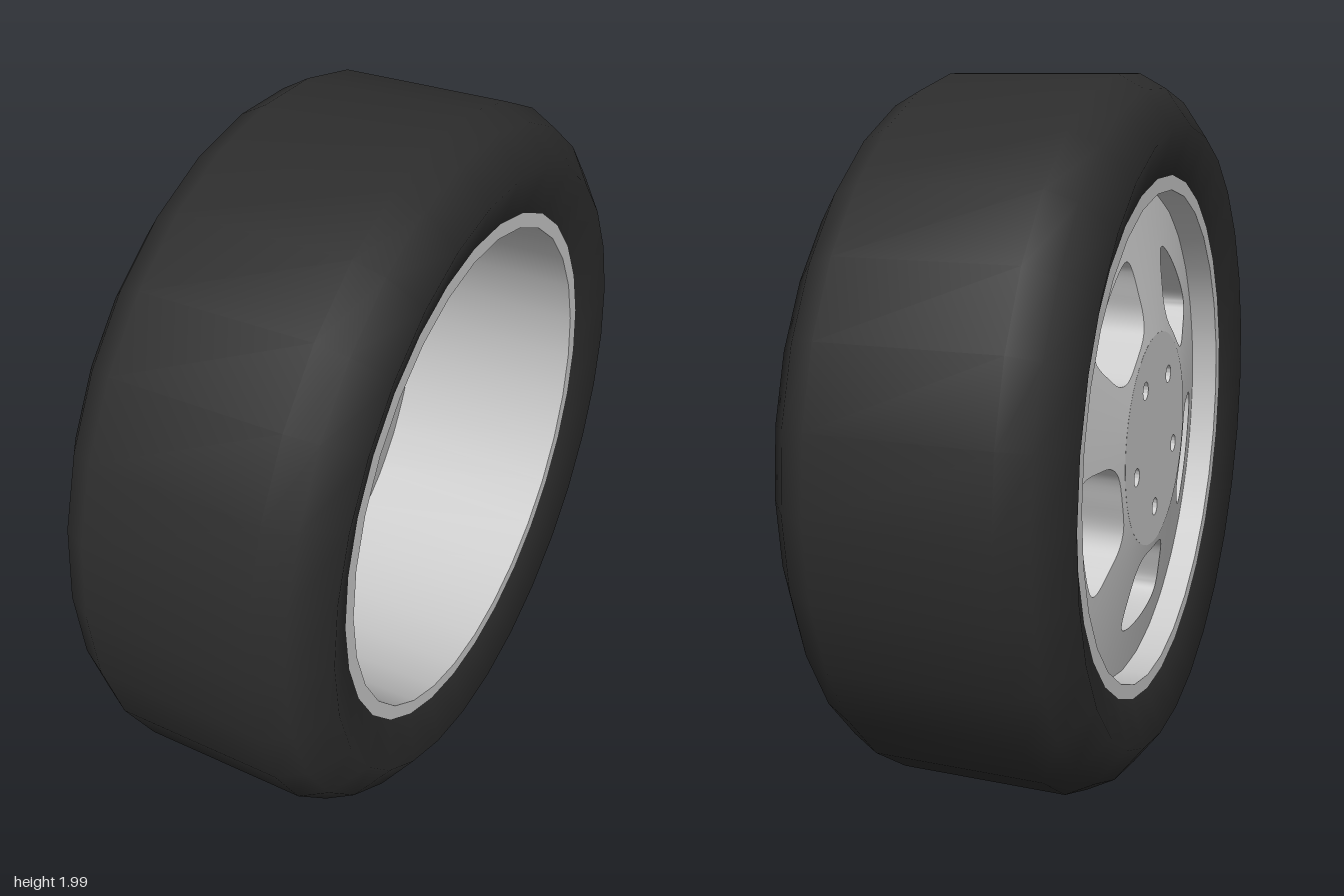
import * as THREE from 'three';
import { toCreasedNormals, mergeGeometries } from 'three/addons/utils/BufferGeometryUtils.js';

const SIDES = 30;
const HUB_R = 0.3, DISC_R = 0.7;
const rubber = new THREE.MeshStandardMaterial({ color: 0x2c2c2c, side: THREE.DoubleSide });
const metal = new THREE.MeshStandardMaterial({ color: 0xcccccc });

function part(name, geometry, material) {
  const mesh = new THREE.Mesh(geometry, material);
  mesh.name = name;
  return mesh;
}

// Revolve [radius, x] points about the x axis
function revolve(points) {
  const g = new THREE.LatheGeometry(points.map(([r, x]) => new THREE.Vector2(r, x)), SIDES);
  return g.rotateZ(-Math.PI / 2);
}

// One fifth of the disc: a tapered plate with a rounded window, axis along z
function discSector(turn) {
  const deg = Math.PI / 180;
  // Right half of the window outline and the matching sector border [angle, radius]
  const halfWindow = [[0, -0.325], [0.09, -0.33], [0.13, -0.36], [0.155, -0.415],
    [0.177, -0.49], [0.168, -0.517], [0.13, -0.535], [0, -0.547]];
  const halfBorder = [[0, HUB_R], [15, HUB_R], [36, HUB_R], [36, 0.42],
    [36, 0.56], [36, DISC_R], [18, DISC_R], [0, DISC_R]];
  const mirror = (pts) => [...pts, ...pts.slice(1, -1).reverse().map(([a, b]) => [-a, b])];
  const border = mirror(halfBorder);
  const curve = new THREE.CatmullRomCurve3(
    mirror(halfWindow).map(([x, y]) => new THREE.Vector3(x, y, 0)), true, 'centripetal');

  const n = border.length * 4;
  const steps = [0, 0.25, 0.5, 0.75, 1];
  const stations = [...steps.map((s) => [s, 0.33, 0.26]),
    ...steps.slice().reverse().map((s) => [s, 0.15, 0.21])];
  const pos = [], index = [];
  for (const [s, zHub, zEdge] of stations) {
    for (let i = 0; i < n; i++) {
      const k = Math.floor(i / 4), f = (i % 4) / 4;
      const b0 = border[k], b1 = border[(k + 1) % border.length];
      const w = curve.getPoint(i / n);
      const a = THREE.MathUtils.lerp(THREE.MathUtils.lerp(b0[0], b1[0], f) * deg, Math.atan2(w.x, -w.y), s);
      const r = THREE.MathUtils.lerp(THREE.MathUtils.lerp(b0[1], b1[1], f), Math.hypot(w.x, w.y), s);
      const z = THREE.MathUtils.mapLinear(r, HUB_R, DISC_R, zHub, zEdge);
      pos.push(r * Math.sin(a + turn), -r * Math.cos(a + turn), z);
    }
  }
  for (let j = 0; j < stations.length - 1; j++) {
    for (let i = 0; i < n; i++) {
      const A = j * n + i, B = j * n + (i + 1) % n, C = A + n, D = B + n;
      index.push(A, C, B, B, C, D);
    }
  }
  const g = new THREE.BufferGeometry();
  g.setAttribute('position', new THREE.Float32BufferAttribute(pos, 3));
  g.setIndex(index);
  return g;
}

export function createModel() {
  const wheel = new THREE.Group();
  wheel.name = 'wheel';
  wheel.position.y = 0.9945;

  // Tyre: chamfered tread with sidewalls running in to the rim
  const half = [[0.73, 0.34], [0.86, 0.385], [0.96, 0.31], [1, 0.235]];
  const tyre = [...half.map(([r, x]) => [r, -x]), ...half.slice().reverse()];
  wheel.add(part('tyre', revolve(tyre), rubber));

  // Rim: open barrel with flat lips
  const barrel = [[0.73, -0.34], [0.73, 0.34], [0.69, 0.34], [0.69, -0.34], [0.73, -0.34]];
  wheel.add(part('rim', toCreasedNormals(revolve(barrel), 0.6), metal));

  // Disc with five windows, and hub; built facing +z then turned to -x
  const face = new THREE.Group();
  face.name = 'wheelFace';
  face.rotation.y = -Math.PI / 2;
  const step = Math.PI * 2 / 5;
  const sectors = [0, 1, 2, 3, 4].map((i) => discSector(i * step));
  face.add(part('windowedDisc', toCreasedNormals(mergeGeometries(sectors), 0.6), metal));

  // Hub plate with five blind bolt holes
  const plate = new THREE.Shape().absarc(0, 0, HUB_R + 0.002, 0, Math.PI * 2);
  for (let i = 0; i < 5; i++) {
    const a = i * step - Math.PI / 2;
    plate.holes.push(new THREE.Path().absarc(0.2 * Math.cos(a), 0.2 * Math.sin(a), 0.025, 0, Math.PI * 2, true));
  }
  const plateGeo = new THREE.ExtrudeGeometry(plate, { depth: 0.06, bevelEnabled: false, curveSegments: 24 });
  plateGeo.translate(0, 0, 0.27);
  face.add(part('hubPlate', toCreasedNormals(plateGeo, 0.6), metal));

  const core = new THREE.CylinderGeometry(HUB_R + 0.002, HUB_R + 0.002, 0.12, 48);
  core.rotateX(Math.PI / 2).translate(0, 0, 0.21);
  face.add(part('hubCore', core, metal));
  wheel.add(face);

  const model = new THREE.Group();
  model.add(wheel);
  return model;
}
